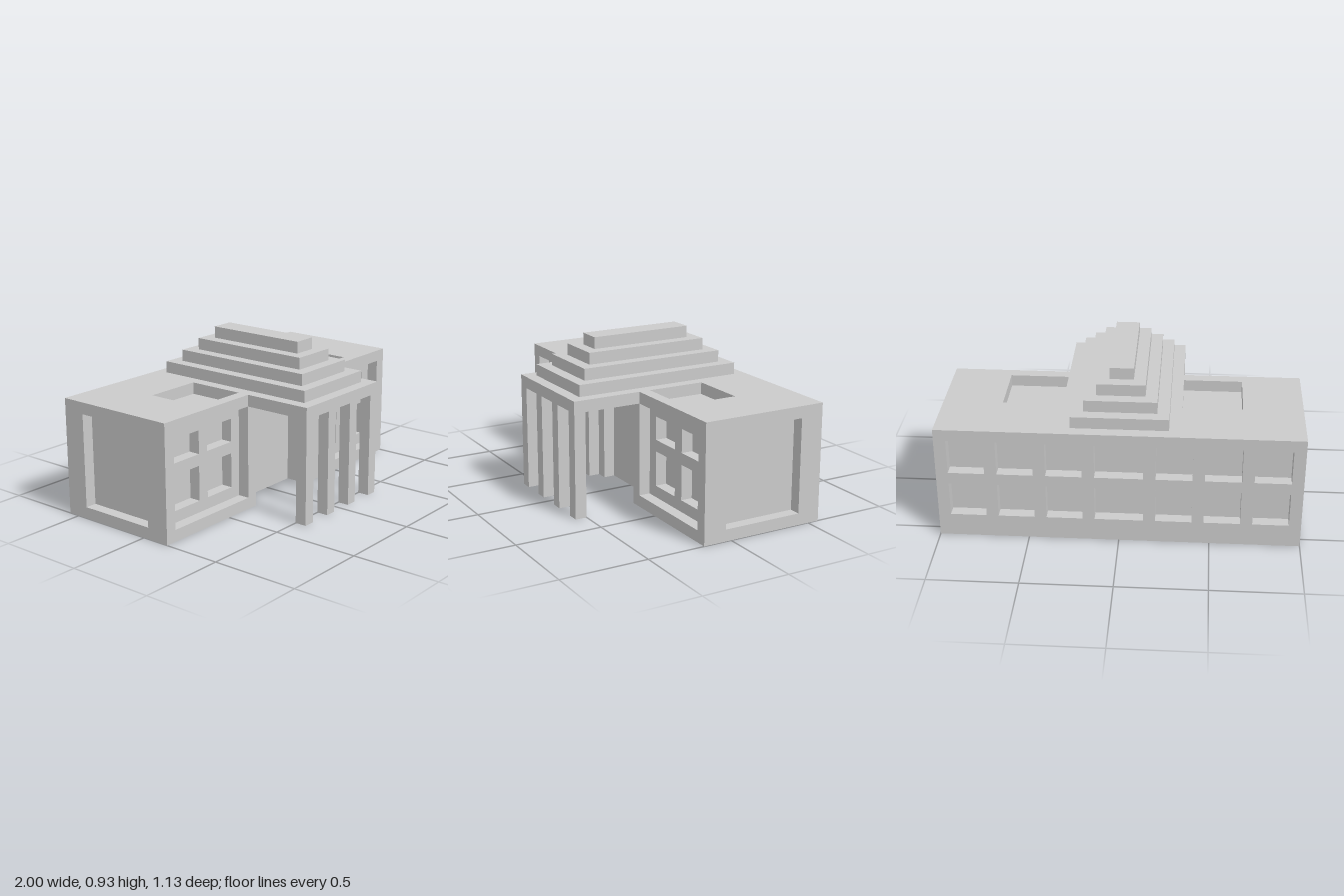
import * as THREE from 'three';
import { mergeGeometries } from 'three/addons/utils/BufferGeometryUtils.js';

// All sizes are in modules of 1/15 unit
const UNIT = 1 / 15;
const material = new THREE.MeshStandardMaterial({ color: 0xcccccc, flatShading: true });

// Counter-clockwise rectangle
const rect = (x0, x1, y0, y1) => [[x0, y0], [x1, y0], [x1, y1], [x0, y1]];
const mirrorX = (pts) => pts.map(([x, y]) => [-x, y]).reverse();
const toVectors = (pts) => pts.map(([x, y]) => new THREE.Vector2(x, y));

// Strip of one-module-deep walls behind a path; faces point to the left of the path
function reveal(pts, z, closed = true) {
  const pos = [];
  const count = closed ? pts.length : pts.length - 1;
  for (let i = 0; i < count; i++) {
    const [ax, ay] = pts[i];
    const [bx, by] = pts[(i + 1) % pts.length];
    pos.push(ax, ay, z, bx, by, z, bx, by, z - 1);
    pos.push(ax, ay, z, bx, by, z - 1, ax, ay, z - 1);
  }
  const geo = new THREE.BufferGeometry();
  geo.setAttribute('position', new THREE.Float32BufferAttribute(pos, 3));
  geo.computeVertexNormals();
  return [geo];
}

// Flat face with recesses one module deep; each recess may hold further recesses
function face(outline, recesses = [], z = 0) {
  const shape = new THREE.Shape(toVectors(outline));
  shape.holes = recesses.map((r) => new THREE.Path(toVectors(r.pts)));
  const geo = new THREE.ShapeGeometry(shape).toNonIndexed().translate(0, 0, z);
  geo.deleteAttribute('uv');
  const parts = [geo];
  for (const r of recesses) {
    parts.push(...reveal(r.pts, z), ...face(r.pts, r.inner, z - 1));
  }
  return parts;
}

export function createModel() {
  const model = new THREE.Group();
  model.name = 'building';

  const add = (name, geo) => {
    const mesh = new THREE.Mesh(geo, material);
    mesh.name = name;
    model.add(mesh);
    return mesh;
  };
  const addFace = (name, parts, position, rx = 0, ry = 0) => {
    const mesh = add(name, mergeGeometries(parts));
    mesh.position.set(...position);
    mesh.rotation.set(rx, ry, 0);
  };
  const addBox = (name, x0, x1, y0, y1, z0, z1) => {
    const geo = new THREE.BoxGeometry(x1 - x0, y1 - y0, z1 - z0);
    add(name, geo).position.set((x0 + x1) / 2, (y0 + y1) / 2, (z0 + z1) / 2);
  };

  // Front wall: recessed wing panels with windows, and a twice-stepped doorway
  const windows = [];
  for (const [x0, x1] of [[6, 9], [10, 13]]) {
    for (const [y0, y1] of [[2, 5], [6, 8]]) windows.push(rect(x0, x1, y0, y1));
  }
  const wing = { pts: rect(5, 14, 1, 9), inner: windows.map((pts) => ({ pts })) };
  const otherWing = {
    pts: mirrorX(wing.pts),
    inner: windows.map((pts) => ({ pts: mirrorX(pts) })),
  };
  const outerDoor = [[4, 0], [4, 8], [-4, 8], [-4, 0]];
  const innerDoor = [[3, 0], [3, 7], [-3, 7], [-3, 0]];
  const frontOutline = [
    [-15, 0], [-4, 0], [-4, 8], [4, 8], [4, 0], [15, 0],
    [15, 10], [5, 10], [5, 9], [-5, 9], [-5, 10], [-15, 10],
  ];
  addFace('frontWall', face(frontOutline, [wing, otherWing]), [0, 0, 2.5]);
  addFace('doorway', [
    ...reveal(outerDoor, 0, false),
    ...face([...outerDoor, ...innerDoor.slice().reverse()], [], -1),
    ...reveal(innerDoor, -1, false),
    ...face(innerDoor, [], -2),
  ], [0, 0, 2.5]);

  // Back wall: two rows of seven windows
  const backWindows = [];
  for (const [x0, x1] of [[-14, -11], [-10, -7], [-6, -3], [-2, 2], [3, 6], [7, 10], [11, 14]]) {
    for (const y of [2, 6]) backWindows.push({ pts: rect(x0, x1, y, y + 3) });
  }
  addFace('backWall', face(rect(-15, 15, 0, 10), backWindows), [0, 0, -8.5], 0, Math.PI);

  // End walls, each with one large recessed panel
  const endPanel = rect(-0.5, 6.5, 1, 9);
  const endOutline = rect(-2.5, 8.5, 0, 10);
  addFace('leftEndWall', face(endOutline, [{ pts: endPanel }]), [15, 0, 0], 0, Math.PI / 2);
  addFace('rightEndWall', face(mirrorX(endOutline), [{ pts: mirrorX(endPanel) }]),
    [-15, 0, 0], 0, -Math.PI / 2);

  // Roof over body and portico, with two sunken wells and the portico fascia
  const well = rect(5, 10, -1.5, 3.5);
  const porticoEdge = [[-5, -2.5], [-5, -8.5], [5, -8.5], [5, -2.5]];
  const roofOutline = [[-15, 8.5], [-15, -2.5], ...porticoEdge, [15, -2.5], [15, 8.5]];
  addFace('roof', [
    ...face(roofOutline, [{ pts: well }, { pts: mirrorX(well) }]),
    ...reveal(porticoEdge.slice().reverse(), 0, false),
  ], [0, 10, 0], -Math.PI / 2);

  // Undersides of the portico and of the body
  addFace('porticoCeiling', face(rect(-5, 5, 2.5, 8.5)), [0, 9, 0], Math.PI / 2);
  addFace('base', face([
    [-15, -8.5], [15, -8.5], [15, 2.5], [4, 2.5], [4, 1.5], [3, 1.5], [3, 0.5],
    [-3, 0.5], [-3, 1.5], [-4, 1.5], [-4, 2.5], [-15, 2.5],
  ]), [0, 0, 0], Math.PI / 2);

  // Square columns
  for (const x of [-5, -2, 1, 4]) addBox('column', x, x + 1, 0, 9, 7.5, 8.5);

  // Stepped ridge
  for (let i = 0; i < 4; i++) {
    addBox('roofStep', i - 4, 4 - i, 10 + i, 11 + i, i - 7.5, 7.5 - i);
  }

  model.scale.setScalar(UNIT);
  return model;
}
